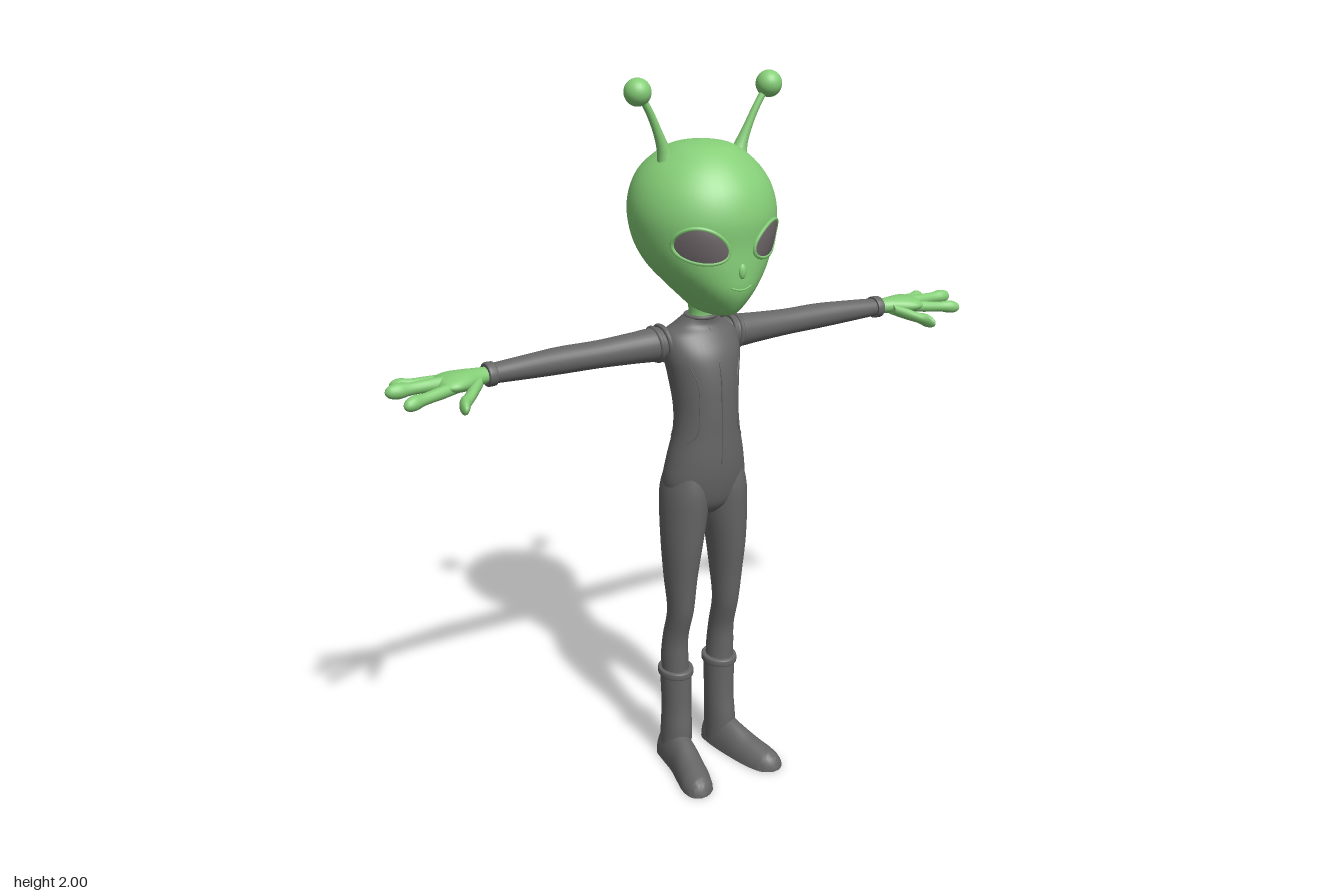
import * as THREE from 'three';
import { toCreasedNormals } from 'three/addons/utils/BufferGeometryUtils.js';

const mat = (name, color, side = THREE.FrontSide) => {
  const m = new THREE.MeshStandardMaterial({ color, side });
  m.name = name;
  return m;
};

// Smoothly interpolated cross-section: [x, y, z, radiusU, radiusV]
function sample(sections, t) {
  const n = sections.length - 1;
  const f = Math.min(t * n, n), i = Math.min(Math.floor(f), n - 1), w = f - i;
  const at = (k) => sections[Math.max(0, Math.min(n, k))];
  return [0, 1, 2, 3, 4].map((c) => {
    const a = at(i - 1)[c], b = at(i)[c], d = at(i + 1)[c], e = at(i + 2)[c];
    const v = b + 0.5 * w * (d - a + w * (2 * a - 5 * b + 4 * d - e + w * (3 * (b - d) + e - a)));
    return c > 2 ? Math.max(v, 0) : v;
  });
}

// Elliptical loft. Radii are (y, z) for axis x, (z, x) for axis y, (x, y) for axis z.
function loft(axis, list, seg = 28, steps = 5) {
  const k = 'xyz'.indexOf(axis), u = (k + 1) % 3, v = (k + 2) % 3;
  const sections = list[0][k] > list[list.length - 1][k] ? [...list].reverse() : list;
  const count = (sections.length - 1) * steps;
  const rings = [];
  for (let i = 0; i <= count; i++) rings.push(sample(sections, i / count));
  // Doubled end rings closed to a point give crisp flat caps
  const point = (r) => [r[0], r[1], r[2], 0, 0];
  const first = rings[0], last = rings[count];
  const all = [point(first), first, ...rings, last, point(last)];
  const pos = [], idx = [];
  all.forEach((r, i) => {
    for (let j = 0; j < seg; j++) {
      const a = (j / seg) * Math.PI * 2, p = [r[0], r[1], r[2]];
      p[u] += r[3] * Math.cos(a);
      p[v] += r[4] * Math.sin(a);
      pos.push(...p);
      if (i === 0) continue;
      const a0 = (i - 1) * seg + j, a1 = (i - 1) * seg + ((j + 1) % seg);
      idx.push(a0, a1, a1 + seg, a0, a1 + seg, a0 + seg);
    }
  });
  const g = new THREE.BufferGeometry();
  g.setAttribute('position', new THREE.Float32BufferAttribute(pos, 3));
  g.setIndex(idx);
  g.computeVertexNormals();
  return g;
}

// Sections given as y, front z, back z, half width
const profile = (rows) => rows.map(([y, f, b, w]) => [0, y, (f + b) / 2, (f - b) / 2, w]);

// Depth of a vertical loft's front (dir 1) or back (dir -1) at x, y
function surfaceZ(sections, x, y, dir = 1) {
  let lo = 0, hi = 1;
  for (let i = 0; i < 24; i++) {
    const m = (lo + hi) / 2;
    if (sample(sections, m)[1] < y) lo = m; else hi = m;
  }
  const s = sample(sections, lo);
  return s[2] + dir * s[3] * Math.sqrt(Math.max(0, 1 - (x / s[4]) ** 2));
}

const HEAD = profile([
  [1.388, 0.09, -0.03, 0.022], [1.4, 0.14, -0.055, 0.045], [1.43, 0.168, -0.085, 0.077],
  [1.47, 0.186, -0.125, 0.115], [1.52, 0.19, -0.162, 0.157], [1.58, 0.19, -0.19, 0.186],
  [1.65, 0.194, -0.205, 0.197], [1.71, 0.18, -0.2, 0.187], [1.76, 0.15, -0.177, 0.16],
  [1.8, 0.11, -0.132, 0.118], [1.825, 0.065, -0.082, 0.072], [1.836, 0.001, -0.012, 0.005],
]);
const TORSO = profile([
  [0.805, 0.045, -0.045, 0.04], [0.84, 0.075, -0.075, 0.1], [0.9, 0.092, -0.087, 0.123],
  [0.97, 0.1, -0.08, 0.114], [1.05, 0.1, -0.066, 0.097], [1.12, 0.1, -0.072, 0.092],
  [1.2, 0.095, -0.09, 0.1], [1.27, 0.08, -0.098, 0.112], [1.32, 0.05, -0.095, 0.108],
  [1.345, 0.03, -0.078, 0.072], [1.37, 0.03, -0.055, 0.044],
]);

export function createModel() {
  const skin = mat('green skin', 0x86cf78);
  const suit = mat('grey suit', 0x666666);
  const eyeMat = mat('dark eyes', 0x6c6468, THREE.DoubleSide);
  const model = new THREE.Group();
  const add = (name, geo, material) => {
    const m = new THREE.Mesh(geo, material);
    m.name = name;
    model.add(m);
    return m;
  };
  const tube = (name, pts, r, material, closed = false) => add(name, new THREE.TubeGeometry(
    new THREE.CatmullRomCurve3(pts, closed), 40, r, 6, closed), material);
  const onFace = (x, y) => new THREE.Vector3(x, y, surfaceZ(HEAD, x, y));
  const onTorso = (x, y, dir) => new THREE.Vector3(x, y, surfaceZ(TORSO, x, y, dir));

  // Head, neck and body
  add('head', loft('y', HEAD, 48, 6), skin);
  add('neck', loft('y', [[0, 1.34, -0.012, 0.037, 0.037], [0, 1.38, -0.01, 0.034, 0.034],
    [0, 1.43, -0.005, 0.045, 0.042]]), skin);
  add('torso', loft('y', TORSO, 40), suit);
  add('collar', new THREE.TorusGeometry(0.041, 0.006, 8, 32).rotateX(Math.PI / 2)
    .translate(0, 1.367, -0.012), suit);

  // Nose and mouth
  add('nose', new THREE.SphereGeometry(1, 16, 12).scale(0.011, 0.02, 0.008)
    .translate(0, 1.525, 0.189), skin);
  tube('mouth', [-0.03, -0.015, 0, 0.015, 0.03].map((x) => onFace(x, 1.476 + 8 * x * x)), 0.003, skin);

  // Front zip
  tube('zip', [1.34, 1.25, 1.15, 1.05, 0.97].map((y) => onTorso(0, y)), 0.0025, suit);

  for (const s of [1, -1]) {
    // Slanted almond eye that follows the face, with a raised lid around it
    const eyeXY = (a, b) => {
      const p = 0.06 * a, q = 0.041 * b * (1 + 0.15 * a), c = Math.cos(0.36), d = Math.sin(0.36);
      return [s * (0.098 + p * c - q * d), 1.592 + p * d + q * c];
    };
    const eye = new THREE.RingGeometry(0.001, 1, 40, 6);
    const ep = eye.attributes.position;
    for (let i = 0; i < ep.count; i++) {
      const a = ep.getX(i), b = ep.getY(i), [x, y] = eyeXY(a, b);
      ep.setXYZ(i, x, y, surfaceZ(HEAD, x, y) + 0.003 + 0.005 * (1 - a * a - b * b));
    }
    eye.computeVertexNormals();
    add('eye', eye, eyeMat);
    const rim = [];
    for (let i = 0; i < 24; i++) {
      const t = (i / 24) * Math.PI * 2;
      rim.push(onFace(...eyeXY(1.05 * Math.cos(t), 1.05 * Math.sin(t))));
    }
    tube('eyelid', rim, 0.0055, skin, true);

    // Antenna with ball tip
    add('antennaStalk', loft('y', [[s * 0.1, 1.77, 0, 0.03, 0.035], [s * 0.115, 1.81, 0, 0.019, 0.02],
      [s * 0.136, 1.86, 0.004, 0.012, 0.013], [s * 0.163, 1.915, 0.008, 0.01, 0.011],
      [s * 0.192, 1.96, 0.01, 0.01, 0.012]], 16), skin);
    add('antennaBall', new THREE.SphereGeometry(0.035, 24, 16).translate(s * 0.197, 1.965, 0.01), skin);

    // Sleeve, cuff and shoulder seams
    add('sleeve', loft('x', [[0.07, 1.295, -0.04, 0.035, 0.04], [0.12, 1.295, -0.04, 0.046, 0.046],
      [0.2, 1.295, -0.04, 0.042, 0.041], [0.3, 1.295, -0.04, 0.037, 0.037],
      [0.41, 1.296, -0.041, 0.036, 0.037], [0.5, 1.297, -0.034, 0.032, 0.032],
      [0.62, 1.298, -0.025, 0.025, 0.028]].map(([x, ...r]) => [s * x, ...r])), suit);
    add('cuff', loft('x', [[s * 0.605, 1.298, -0.025, 0.028, 0.031], [s * 0.607, 1.298, -0.025, 0.031, 0.034],
      [s * 0.625, 1.298, -0.024, 0.031, 0.034], [s * 0.628, 1.298, -0.024, 0.026, 0.029]]), suit);
    for (const [x, r] of [[0.105, 0.048], [0.128, 0.045]]) {
      add('shoulderSeam', new THREE.TorusGeometry(r, 0.007, 8, 32).rotateY(Math.PI / 2)
        .rotateZ(-s * 0.1).translate(s * x, 1.295, -0.04), suit);
    }

    // Side panel seams, front and back
    for (const dir of [1, -1]) {
      tube('panelSeam', [[0.08, 1.25], [0.062, 1.2], [0.06, 1.12], [0.066, 1.06], [0.088, 1.03]]
        .map(([x, y]) => onTorso(s * x, y, dir)), 0.002, suit);
    }

    // Hand: palm, three fingers and a thumb
    add('palm', loft('x', [[0.615, 1.298, -0.024, 0.02, 0.023], [0.65, 1.298, -0.02, 0.022, 0.03],
      [0.69, 1.298, -0.013, 0.025, 0.046], [0.725, 1.298, -0.013, 0.023, 0.057],
      [0.75, 1.297, -0.015, 0.016, 0.05], [0.76, 1.297, -0.015, 0.006, 0.03]]
      .map(([x, ...r]) => [s * x, ...r])), skin);
    const digits = [
      ['finger', [0.7, 1.295, -0.04], [0.853, 1.285, -0.096], 0.017],
      ['finger', [0.7, 1.3, -0.015], [0.892, 1.298, -0.015], 0.018],
      ['finger', [0.7, 1.295, 0.01], [0.872, 1.28, 0.055], 0.017],
      ['thumb', [0.655, 1.292, 0.0], [0.742, 1.258, 0.092], 0.018],
    ];
    for (const [name, a, b, r] of digits) {
      const wide = Math.hypot(b[0] - a[0], b[2] - a[2]) / (b[0] - a[0]);
      const shape = [[0, 0.9], [0.35, 0.95], [0.65, 0.88], [0.82, 1.1], [0.93, 0.9], [0.98, 0.5], [1, 0.05]];
      add(name, loft('x', shape.map(([t, k]) => [s * (a[0] + (b[0] - a[0]) * t),
        a[1] + (b[1] - a[1]) * t, a[2] + (b[2] - a[2]) * t, r * k, r * k * wide]), 16), skin);
    }

    // Trouser leg
    add('leg', loft('y', [[0.076, 0.27, -0.03, 0.044, 0.04], [0.079, 0.34, -0.031, 0.046, 0.038],
      [0.079, 0.41, -0.024, 0.043, 0.035], [0.077, 0.5, 0.0, 0.045, 0.036],
      [0.077, 0.6, 0.001, 0.058, 0.044], [0.074, 0.7, 0.003, 0.07, 0.054],
      [0.067, 0.8, 0.002, 0.08, 0.063], [0.063, 0.88, 0.001, 0.085, 0.062],
      [0.058, 0.95, 0.005, 0.07, 0.05]].map(([x, ...r]) => [s * x, ...r])), suit);

    // Boot shaft, top band and flat-soled foot
    add('bootShaft', loft('y', [[0.08, 0.015, -0.03, 0.056, 0.045], [0.077, 0.1, -0.028, 0.056, 0.043],
      [0.075, 0.18, -0.03, 0.051, 0.042], [0.076, 0.29, -0.031, 0.052, 0.045]]
      .map(([x, ...r]) => [s * x, ...r])), suit);
    add('bootBand', loft('y', [[s * 0.076, 0.279, -0.031, 0.054, 0.046], [s * 0.076, 0.283, -0.031, 0.058, 0.05],
      [s * 0.076, 0.298, -0.031, 0.058, 0.05], [s * 0.076, 0.302, -0.031, 0.053, 0.045]]), suit);
    const foot = loft('z', [[0.08, 0, -0.09, 0.02, 0.04], [0.08, 0, -0.07, 0.042, 0.085],
      [0.083, 0, -0.02, 0.047, 0.1], [0.09, 0, 0.04, 0.047, 0.088], [0.103, 0, 0.1, 0.049, 0.067],
      [0.115, 0, 0.15, 0.048, 0.055], [0.122, 0, 0.19, 0.036, 0.042], [0.125, 0, 0.208, 0.01, 0.014]]
      .map(([x, ...r]) => [s * x, ...r]));
    const fp = foot.attributes.position;
    for (let i = 0; i < fp.count; i++) fp.setY(i, Math.max(0, fp.getY(i)));
    add('foot', toCreasedNormals(foot, 0.9), suit);
  }
  return model;
}
